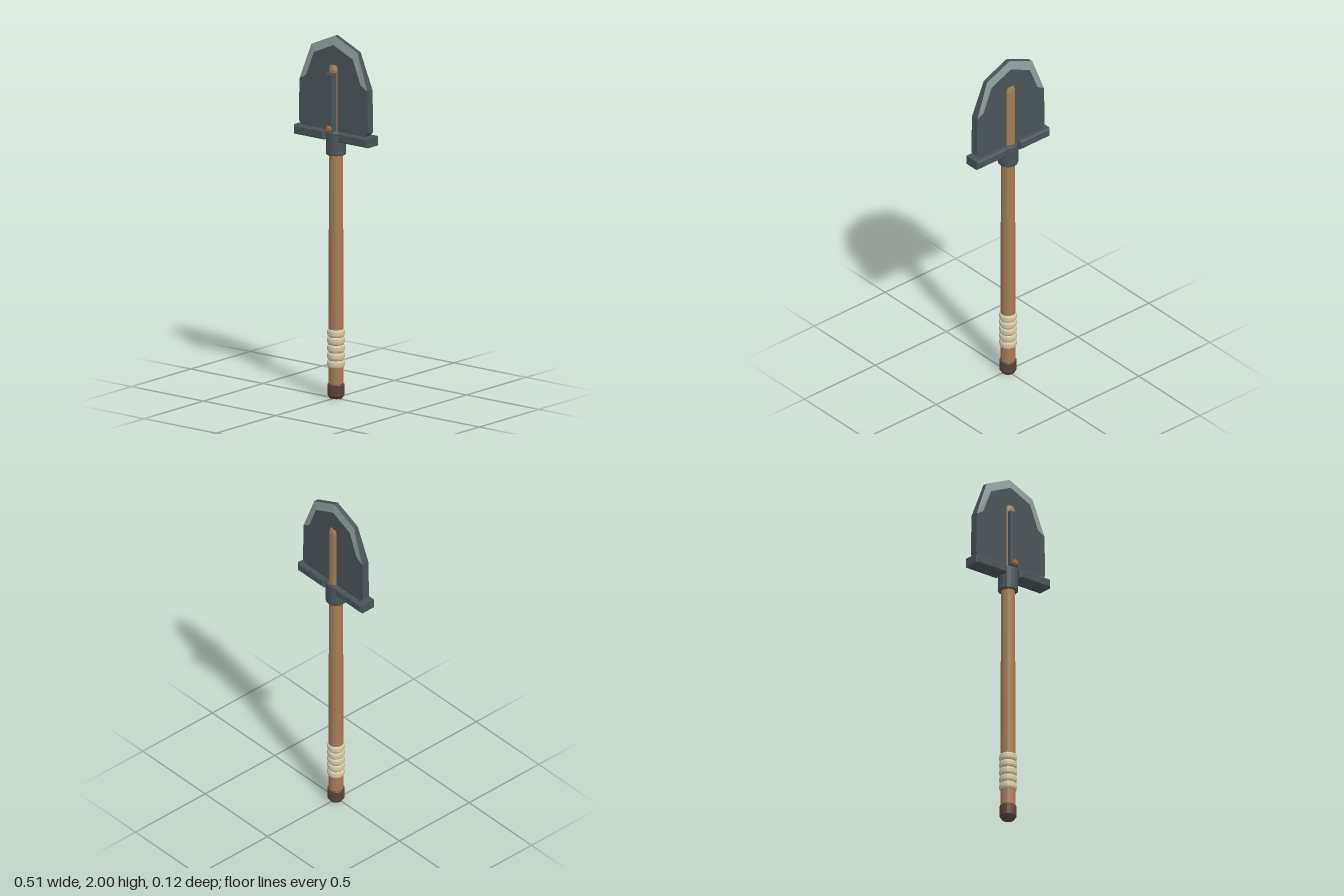
import * as THREE from 'three';

const mat = (name, color) => {
  const m = new THREE.MeshStandardMaterial({ color });
  m.name = name;
  return m;
};

// flat facets
const flat = (g) => {
  const f = g.index ? g.toNonIndexed() : g;
  f.computeVertexNormals();
  return f;
};

const lathe = (pts, sides = 16) =>
  flat(new THREE.LatheGeometry(pts.map(([r, y]) => new THREE.Vector2(r, y)), sides));

// box with chamfered edges, centred on its own origin
function chamferBox(w, h, d, c) {
  const x = w / 2 - c, y = h / 2 - c;
  const s = new THREE.Shape([[-x, -y], [x, -y], [x, y], [-x, y]].map(p => new THREE.Vector2(...p)));
  const g = new THREE.ExtrudeGeometry(s, {
    depth: d - 2 * c, bevelEnabled: true, bevelSize: c, bevelThickness: c, bevelSegments: 1,
  });
  return flat(g.translate(0, 0, c - d / 2));
}

// quads given as four corners, counter-clockwise from outside
function quads(list) {
  const pos = [];
  for (const [a, b, c, d] of list) pos.push(...a, ...b, ...c, ...a, ...c, ...d);
  const g = new THREE.BufferGeometry();
  g.setAttribute('position', new THREE.Float32BufferAttribute(pos, 3));
  g.computeVertexNormals();
  return g;
}

export function createModel() {
  const steel = mat('dark steel', 0x4a5459);
  const edge = mat('ground edge steel', 0x8f9c9b);
  const wood = mat('wood', 0xa67c54);
  const copper = mat('copper', 0xa56c42);
  const cloth = mat('cloth wrap', 0xd6cba8);
  const leather = mat('dark cap', 0x5a443a);

  const tool = new THREE.Group();
  tool.name = 'shovel';
  const add = (name, geo, material, x = 0, y = 0, z = 0) => {
    const m = new THREE.Mesh(geo, material);
    m.name = name;
    m.position.set(x, y, z);
    tool.add(m);
    return m;
  };

  // handle, running up through the blade
  add('shaft', lathe([[0.041, 0.06], [0.038, 1.34], [0.038, 1.815], [0.031, 1.84], [0, 1.84]]), wood);
  add('endCap', lathe([[0, 0], [0.034, 0], [0.046, 0.018], [0.046, 0.075], [0.041, 0.082]]), leather);

  // five bulging turns of grip wrap
  const turn = 0.0425;
  for (let i = 0; i < 5; i++) {
    add('gripWrap', lathe([[0.038, 0], [0.045, 0.004], [0.048, 0.013], [0.048, turn - 0.013],
      [0.045, turn - 0.004], [0.038, turn]]), cloth, 0, 0.17 + i * turn);
  }

  // socket and foot rests
  add('collar', lathe([[0.038, 1.345], [0.052, 1.345], [0.055, 1.35], [0.055, 1.468],
    [0.051, 1.475], [0.036, 1.475]]), steel);
  for (const s of [-1, 1]) {
    add(s > 0 ? 'leftFootRest' : 'rightFootRest', chamferBox(0.21, 0.052, 0.099, 0.008), steel, s * 0.152, 1.451);
  }

  // blade outline: outer rim and inner line of the ground edge
  const outer = [[0.235, 1.73], [0.16, 1.93], [0, 2], [-0.16, 1.93], [-0.235, 1.73]];
  const inner = [[0.19, 1.755], [0.135, 1.89], [0, 1.95], [-0.135, 1.89], [-0.19, 1.755]];
  const T = 0.022;
  const half = [T, 0.013, 0.013, 0.013, T];
  const body = new THREE.Shape([[-0.215, 1.475], [0.215, 1.475], [0.24, 1.5], outer[0], ...inner, outer[4],
    [-0.24, 1.5]].map(p => new THREE.Vector2(...p)));
  add('blade', flat(new THREE.ExtrudeGeometry(body, { depth: 2 * T, bevelEnabled: false })
    .translate(0, 0, -T)), steel);

  // sloping ground edge on both sides and the thin rim between
  const bevel = [], rim = [];
  for (let i = 0; i < 4; i++) {
    const o = (k, s) => [...outer[k], s * half[k]];
    const n = (k, s) => [...inner[k], s * T];
    bevel.push([n(i, 1), o(i, 1), o(i + 1, 1), n(i + 1, 1)]);
    bevel.push([n(i + 1, -1), o(i + 1, -1), o(i, -1), n(i, -1)]);
    rim.push([o(i, 1), o(i, -1), o(i + 1, -1), o(i + 1, 1)]);
  }
  add('groundEdge', quads(bevel), edge);
  add('bladeRim', quads(rim), steel);

  // front rib with its rivet
  add('rib', chamferBox(0.05, 0.32, 0.05, 0.009), steel, 0, 1.64, 0.034);
  const rivet = lathe([[0, 0], [0.017, 0], [0.017, 0.014], [0.013, 0.018], [0, 0.018]], 10);
  add('rivet', rivet.rotateX(Math.PI / 2), copper, 0, 1.495, 0.052);

  tool.position.z = -0.008;
  const model = new THREE.Group();
  model.name = 'model';
  model.add(tool);
  return model;
}
